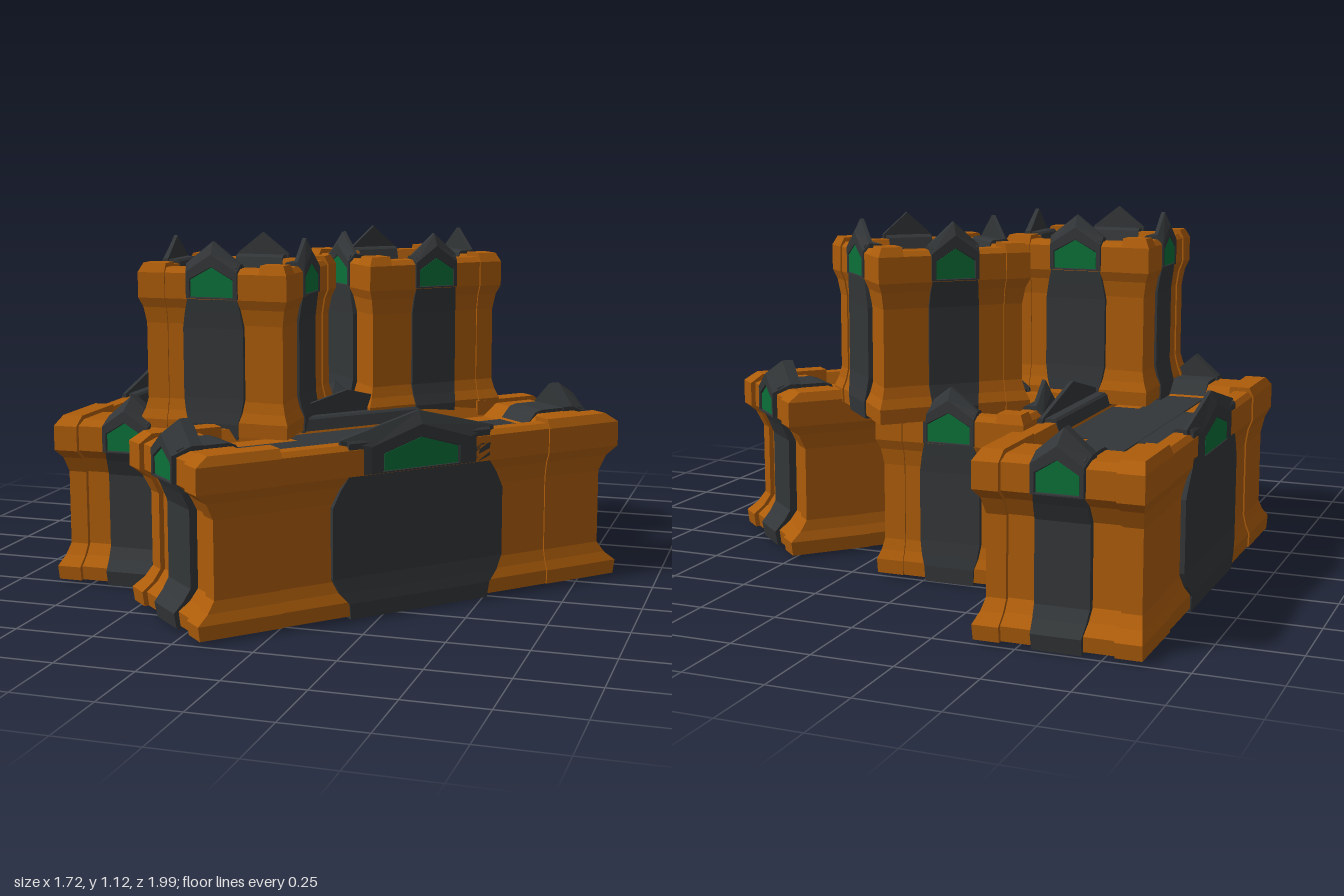
import * as THREE from 'three';

const L = 0.247, W = 0.247; // half length and half width of one crate

const paint = (color) => new THREE.MeshStandardMaterial({ color, flatShading: true });
const orange = paint(0xac5c0a), dark = paint(0x333638), green = paint(0x0b7039);

// Skin a stack of equal-sized rings (counter-clockwise seen from the last one) and cap both ends
function loft(rings) {
  const n = rings[0].length, pos = rings.flat(2), idx = [];
  for (let r = 0; r < rings.length - 1; r++) {
    for (let i = 0; i < n; i++) {
      const a = r * n + i, b = r * n + (i + 1) % n;
      idx.push(a, b, b + n, a, b + n, a + n);
    }
  }
  const e = (rings.length - 1) * n;
  for (let i = 1; i < n - 1; i++) idx.push(0, i + 1, i, e, e + i, e + i + 1);
  const g = new THREE.BufferGeometry();
  g.setAttribute('position', new THREE.Float32BufferAttribute(pos, 3));
  g.setIndex(idx);
  const flat = g.toNonIndexed();
  flat.computeVertexNormals();
  return flat;
}

// Horizontal rectangle between two opposite corners
function rect(y, xa, xb, za, zb) {
  const x0 = Math.min(xa, xb), x1 = Math.max(xa, xb), z0 = Math.min(za, zb), z1 = Math.max(za, zb);
  return [[x0, y, z1], [x1, y, z1], [x1, y, z0], [x0, y, z0]];
}

// Upright house-shaped pentagon
const house = (z, h, y0, ys, yp) => [[-h, y0, z], [h, y0, z], [h, ys, z], [0, yp, z], [-h, ys, z]];

// Waisted wall profile: height, inset
const wall = [[0.01, 0.002], [0.055, 0], [0.085, 0.012], [0.12, 0.02], [0.36, 0.02],
  [0.41, 0.012], [0.44, 0], [0.52, 0], [0.549, 0.014]];

function add(parent, name, geometry, material) {
  const m = new THREE.Mesh(geometry, material);
  m.name = name;
  parent.add(m);
}

// Pointed gable with a framed green pane, on the face at distance d
function gable(d, h, pane) {
  const g = new THREE.Group();
  g.name = 'gable';
  add(g, 'gableFrame', loft([
    house(d - 0.032, h, 0.44, 0.55, 0.62),
    house(d - 0.02, h, 0.44, 0.55, 0.62),
    house(d, pane + 0.015, 0.442, 0.525, 0.58),
    house(d, pane + 0.003, 0.446, 0.503, 0.542),
    house(d - 0.004, pane, 0.448, 0.501, 0.54),
  ]), dark);
  add(g, 'greenPane', loft([
    house(d - 0.02, pane, 0.448, 0.501, 0.54),
    house(d - 0.002, pane, 0.448, 0.501, 0.54),
  ]), green);
  return g;
}

function crate(x, y, z, angle, stretch) {
  const c = new THREE.Group();
  c.name = stretch > 1 ? 'longCrate' : 'cubeCrate';
  c.position.set(x, y, z);
  c.rotation.y = THREE.MathUtils.degToRad(angle);
  c.scale.x = stretch;

  // Shell with a raised rim around a sunken lid
  const shell = wall.map(([h, i]) => [Math.min(h, 0.536), i + 0.005]);
  shell.push([0.536, 0.065], [0.495, 0.082]);
  add(c, 'shell', loft(shell.map(([h, i]) => rect(h, -L + i, L - i, -W + i, W - i))), orange);

  // Corner posts
  for (const sx of [-1, 1]) for (const sz of [-1, 1]) {
    add(c, 'cornerPost', loft(wall.map(([h, i]) =>
      rect(h, sx * (L - 0.09), sx * (L - i), sz * (W - 0.08), sz * (W - i)))), orange);
  }

  // Dark band wrapped around the long sides, bulging at the waist
  const sideBand = [[0, 0.081, 0.004], [0.05, 0.083, 0], [0.085, 0.093, 0.005], [0.13, 0.1, 0.01],
    [0.35, 0.1, 0.01], [0.4, 0.092, 0.007], [0.44, 0.083, 0.005], [0.498, 0.083, 0.005]];
  add(c, 'sideBand', loft(sideBand.map(([h, w, i]) => rect(h, -w, w, -W + i, W - i))), dark);

  // Dark band wrapped around the ends
  const endBand = [[0.002, 0.073, 0.003], [0.05, 0.074, 0], [0.085, 0.078, 0.01], [0.12, 0.081, 0.017],
    [0.36, 0.081, 0.017], [0.41, 0.078, 0.01], [0.44, 0.074, 0.005], [0.499, 0.074, 0.005]];
  add(c, 'endBand', loft(endBand.map(([h, w, i]) => rect(h, -L + i, L - i, -w, w))), dark);

  // Dark rim blocks and gables on all four faces
  for (let k = 0; k < 4; k++) {
    const end = k % 2 === 1, d = end ? L : W, w = end ? 0.074 : 0.083;
    const face = new THREE.Group();
    face.name = end ? 'endTrim' : 'sideTrim';
    face.rotation.y = k * Math.PI / 2;
    add(face, 'rimBlock', loft([
      rect(0.48, -w, w, d - 0.085, d - 0.006),
      rect(0.54, -w, w, d - 0.068, d - 0.006),
      rect(0.547, -w, w, d - 0.06, d - 0.012),
    ]), dark);
    const sidePane = stretch > 1 ? 0.043 : 0.07;
    face.add(end ? gable(d, 0.081, 0.062) : gable(d, 0.09, sidePane));
    c.add(face);
  }
  return c;
}

export function createModel() {
  const model = new THREE.Group();
  model.name = 'crateStack';
  model.add(
    crate(-0.617, 0, -0.245, 90, 3.05),     // long crate along the side
    crate(0.165, 0, 0.275, 46.9, 3.05),     // long diagonal crate
    crate(-0.087, 0, -0.255, 0, 1),         // lower cube
    crate(-0.325, 0.5, 0.23, 0, 1),         // upper cube
    crate(0.082, 0.5, -0.26, -46.5, 1),     // upper turned cube
  );
  return model;
}
